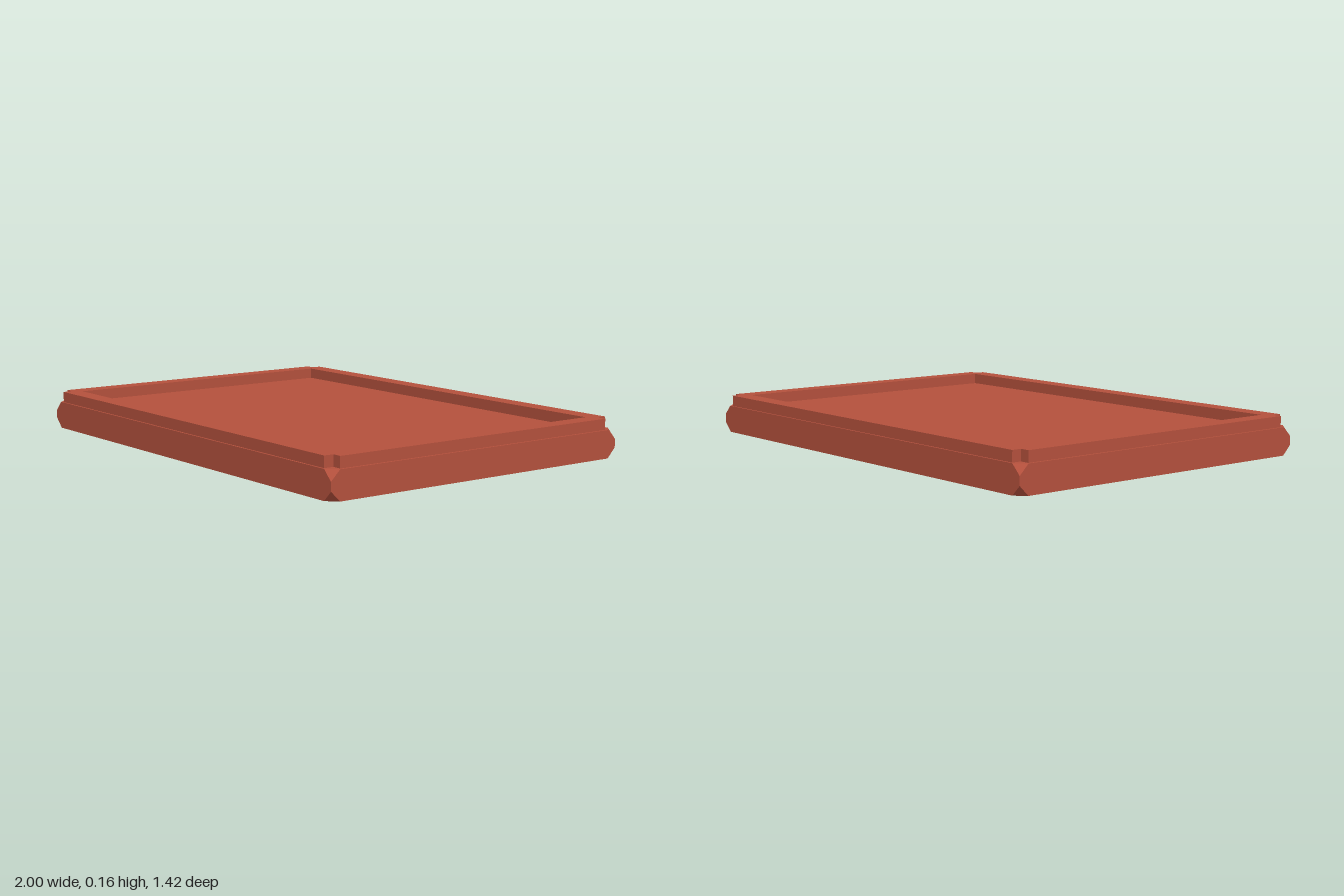
import * as THREE from 'three';
import { ConvexGeometry } from 'three/addons/geometries/ConvexGeometry.js';

const signs = [-1, 1];

export function createModel() {
  const group = new THREE.Group();
  group.name = 'tray';
  const clay = new THREE.MeshStandardMaterial({ color: 0xb5513d });
  clay.name = 'clay red';

  // Slab with all eight corners cut off
  const W = 1, D = 0.712, H = 0.115, cut = 0.04;
  const points = [];
  for (const x of signs) for (const z of signs) for (const top of [0, 1]) {
    const y = top * H, inY = top ? H - cut : cut;
    points.push(
      new THREE.Vector3(x * (W - cut), y, z * D),
      new THREE.Vector3(x * W, y, z * (D - cut)),
      new THREE.Vector3(x * W, inY, z * D));
  }
  const base = new THREE.Mesh(new ConvexGeometry(points), clay);
  base.name = 'base';
  group.add(base);

  // Raised rim with notched corners around a rectangular recess
  const w = 0.99, d = 0.704, n = 0.04;
  const outline = [
    [w, -d + n], [w, d - n], [w - n, d - n], [w - n, d],
    [-w + n, d], [-w + n, d - n], [-w, d - n], [-w, -d + n],
    [-w + n, -d + n], [-w + n, -d], [w - n, -d], [w - n, -d + n],
  ].map(([x, y]) => new THREE.Vector2(x, y));
  const shape = new THREE.Shape(outline);
  const iw = 0.916, id = 0.628;
  shape.holes.push(new THREE.Path([[-iw, -id], [-iw, id], [iw, id], [iw, -id]]
    .map(([x, y]) => new THREE.Vector2(x, y))));
  const rimGeometry = new THREE.ExtrudeGeometry(shape, { depth: 0.16 - H, bevelEnabled: false });
  rimGeometry.rotateX(-Math.PI / 2).translate(0, H, 0);
  const rim = new THREE.Mesh(rimGeometry, clay);
  rim.name = 'rim';
  group.add(rim);

  return group;
}
